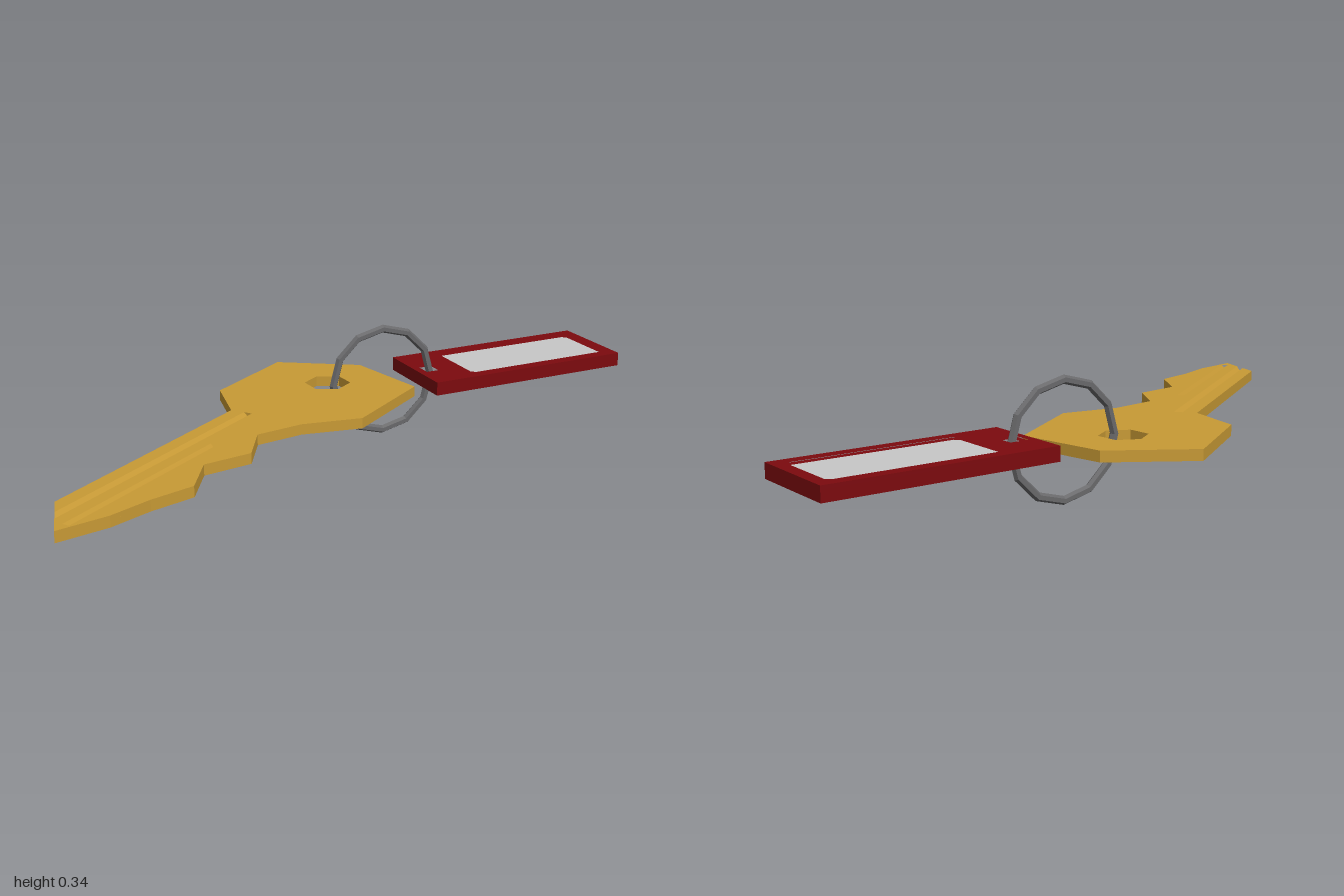
import * as THREE from 'three';

const material = (name, color) => {
  const m = new THREE.MeshStandardMaterial({ color });
  m.name = name;
  return m;
};

// Shape from plan points [x, z]
const path = (pts, Type = THREE.Shape) => new Type(pts.map(([x, z]) => new THREE.Vector2(x, -z)));
const rect = (x0, x1, z0, z1) => [[x0, z0], [x1, z0], [x1, z1], [x0, z1]];

// Rectangle with clipped corners
const clipped = (x0, x1, z0, z1, c) => [
  [x0 + c, z0], [x1 - c, z0], [x1, z0 + c], [x1, z1 - c],
  [x1 - c, z1], [x0 + c, z1], [x0, z1 - c], [x0, z0 + c],
];

// Horizontal plate between heights y0 and y1
function plate(name, outline, holes, y0, y1, mat) {
  const shape = path(outline);
  shape.holes = holes.map((h) => path(h, THREE.Path));
  const geo = new THREE.ExtrudeGeometry(shape, { depth: y1 - y0, bevelEnabled: false });
  geo.rotateX(-Math.PI / 2).translate(0, y0, 0);
  const mesh = new THREE.Mesh(geo, mat);
  mesh.name = name;
  return mesh;
}

export function createModel() {
  const brass = material('brass', 0xc89a35);
  const red = material('dark red', 0x7c0a0e);
  const paper = material('light grey', 0xc8c8c8);
  const steel = material('steel grey', 0x68686a);
  const model = new THREE.Group();
  model.name = 'keyWithTag';

  // Key: solid lower layer, upper layer cut by two V grooves
  const key = new THREE.Group();
  key.name = 'key';
  const yBottom = 0.14, yFloor = 0.158, yTop = 0.17;
  const rightSide = [
    [-0.22, -0.4], [0.02, -0.3], [0.02, 0.01], [-0.1, 0.135], [-0.16, 0.26], [-0.1, 0.38],
    [-0.16, 0.505], [-0.1, 0.63], [-0.14, 0.75], [-0.165, 0.87], [-0.22, 1],
  ];
  const leftSide = [[-0.33, 0.87], [-0.33, 0.135], [-0.455, 0.01], [-0.455, -0.3]];
  const tipEdge = (x) => 1 + (x + 0.22) * (0.13 / 0.11);
  const eye = Array.from({ length: 6 }, (_, i) => {
    const a = (i * Math.PI) / 3;
    return [-0.22 + 0.067 * Math.sin(a), -0.206 + 0.067 * Math.cos(a)];
  });
  const grooves = [
    { x0: -0.29, x1: -0.265, start: 0.13, end: tipEdge },
    { x0: -0.23, x1: -0.21, start: 0.375, end: () => 0.96 },
  ];
  const [long, short] = grooves;
  const notch = [
    [long.x1, tipEdge(long.x1)], [long.x1, long.start],
    [long.x0, long.start], [long.x0, tipEdge(long.x0)],
  ];
  key.add(
    plate('keyBody', [...rightSide, ...leftSide], [eye], yBottom, yFloor, brass),
    plate('keyFace', [...rightSide, ...notch, ...leftSide],
      [eye, rect(short.x0, short.x1, short.start, 0.96)], yFloor, yTop, brass),
  );

  // Sloping groove walls
  for (const { x0, x1, start, end } of grooves) {
    const mid = (x0 + x1) / 2;
    for (const x of [x0, x1]) {
      const tri = new THREE.Shape([
        new THREE.Vector2(x, yFloor), new THREE.Vector2(mid, yFloor), new THREE.Vector2(x, yTop),
      ]);
      const geo = new THREE.ExtrudeGeometry(tri, { depth: 1, bevelEnabled: false });
      const p = geo.attributes.position;
      for (let i = 0; i < p.count; i++) p.setZ(i, p.getZ(i) > 0.5 ? end(p.getX(i)) : start);
      geo.computeVertexNormals();
      const wall = new THREE.Mesh(geo, brass);
      wall.name = 'grooveWall';
      key.add(wall);
    }
  }
  model.add(key);

  // Split ring through both holes
  const ring = new THREE.Mesh(
    new THREE.TorusGeometry(0.157, 0.012, 6, 12).toNonIndexed(), steel);
  ring.geometry.computeVertexNormals();
  ring.name = 'ring';
  ring.position.set(-0.095, 0.169, -0.314);
  ring.rotation.y = 0.921;
  model.add(ring);

  // Tag with a slot and a recessed label
  const tag = new THREE.Group();
  tag.name = 'tag';
  const outline = rect(-0.3225, 0.3225, -0.137, 0.137);
  const slot = rect(-0.3, -0.246, -0.036, 0.036);
  const label = clipped(-0.182, 0.288, -0.102, 0.102, 0.012);
  tag.add(
    plate('tagBase', outline, [slot], 0.15, 0.18, red),
    plate('tagFrame', outline, [slot, label], 0.18, 0.19, red),
    plate('label', label, [], 0.18, 0.183, paper),
  );
  tag.position.set(0.154, 0, -0.655);
  tag.rotation.y = 0.982;
  model.add(tag);

  return model;
}
